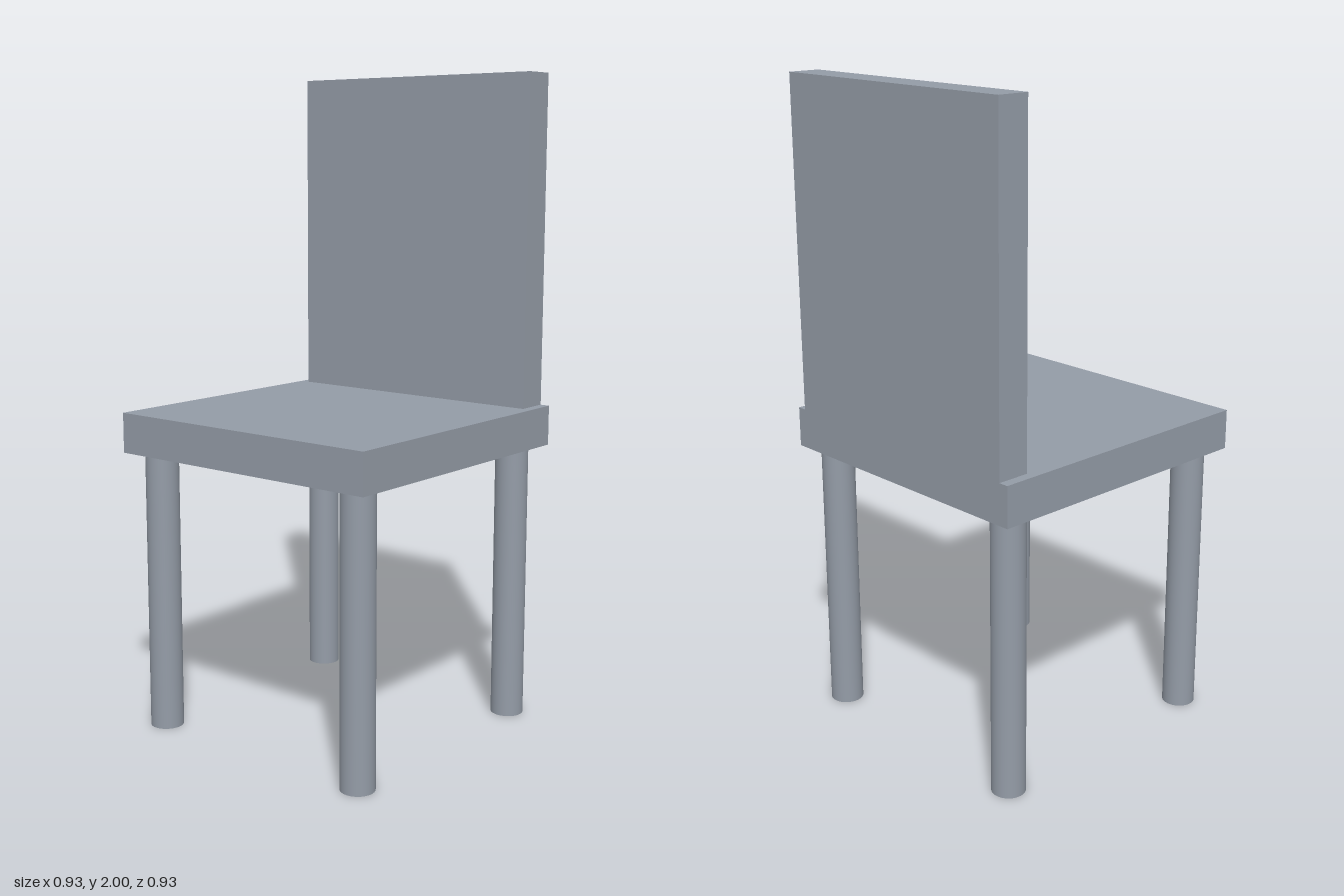
import * as THREE from 'three';

const material = new THREE.MeshStandardMaterial({ color: 0x949ca7 });

const SEAT_WIDTH = 0.926;
const SEAT_BOTTOM = 0.867;
const SEAT_TOP = 0.99;
const BACK_WIDTH = 0.866;
const BACK_DEPTH = 0.102;
const LEG_RADIUS = 0.051;
const LEG_OFFSET = 0.382;

function addPart(group, name, geometry, x, y, z) {
  const mesh = new THREE.Mesh(geometry, material);
  mesh.name = name;
  mesh.position.set(x, y, z);
  group.add(mesh);
}

export function createModel() {
  const chair = new THREE.Group();
  chair.name = 'chair';

  // Square seat slab
  const seatHeight = SEAT_TOP - SEAT_BOTTOM;
  addPart(chair, 'seat', new THREE.BoxGeometry(SEAT_WIDTH, seatHeight, SEAT_WIDTH),
    0, SEAT_BOTTOM + seatHeight / 2, 0);

  // Backrest panel, flush with the rear edge of the seat
  const backHeight = 2 - SEAT_TOP;
  addPart(chair, 'backrest', new THREE.BoxGeometry(BACK_WIDTH, backHeight, BACK_DEPTH),
    0, SEAT_TOP + backHeight / 2, -SEAT_WIDTH / 2 + BACK_DEPTH / 2);

  // Four round legs
  const legGeometry = new THREE.CylinderGeometry(LEG_RADIUS, LEG_RADIUS, SEAT_BOTTOM, 48);
  for (const [zName, z] of [['front', LEG_OFFSET], ['back', -LEG_OFFSET]]) {
    for (const [xName, x] of [['Left', LEG_OFFSET], ['Right', -LEG_OFFSET]]) {
      addPart(chair, `${zName}${xName}Leg`, legGeometry, x, SEAT_BOTTOM / 2, z);
    }
  }

  return chair;
}
